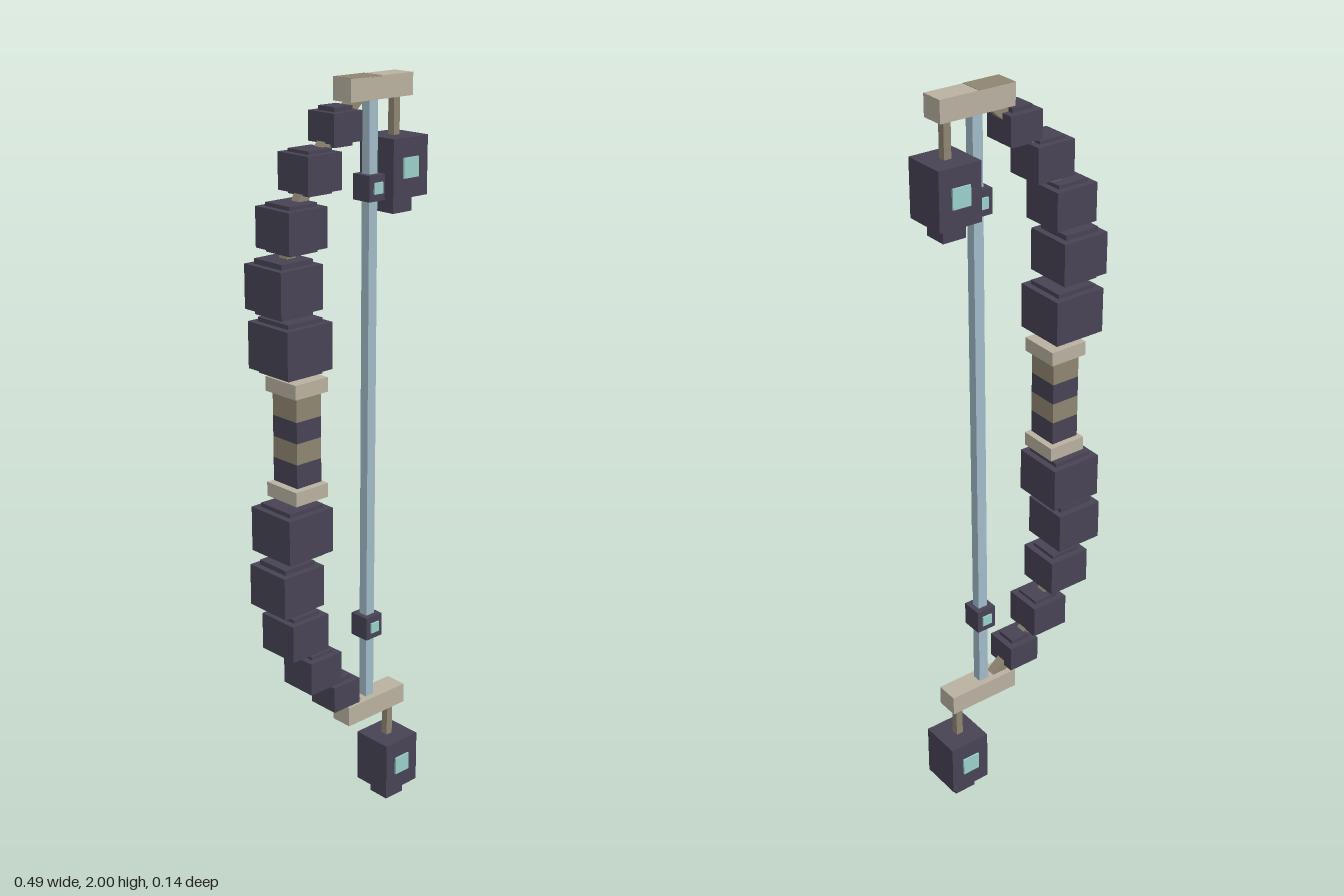
import * as THREE from 'three';

const mat = (name, color) => Object.assign(new THREE.MeshStandardMaterial({ color }), { name });

export function createModel() {
  const dark = mat('dark stone', 0x474354);
  const tan = mat('pale bone', 0xb9b1a0);
  const brown = mat('aged bone', 0x8f8672);
  const cyan = mat('pale crystal', 0x9ad0c8);
  const blue = mat('bowstring blue', 0xa0bac8);

  const model = new THREE.Group();
  model.name = 'bow';
  const MID = 1.143; // height of the mirror plane between the upper and lower limb

  function box(name, material, w, h, d, x, y, z = 0) {
    const mesh = new THREE.Mesh(new THREE.BoxGeometry(w, h, d), material);
    mesh.name = name;
    mesh.position.set(x, y, z);
    model.add(mesh);
    return mesh;
  }

  // Square rod between two points in the xy plane
  function rod(name, a, b, t) {
    const dx = b[0] - a[0], dy = b[1] - a[1];
    const mesh = box(name, brown, t, Math.hypot(dx, dy), t, (a[0] + b[0]) / 2, (a[1] + b[1]) / 2);
    mesh.rotation.z = Math.atan2(-dx, dy);
  }

  // Crystal plates on the front and back of a block
  function crystals(name, size, x, y, face) {
    for (const s of [1, -1]) box(name, cyan, size, size, 0.008, x, y, s * face);
  }

  // Limb blocks: x, height above the middle, width, block height, height with caps
  const beads = [
    [-0.159, 0.240, 0.144, 0.118, 0.140],
    [-0.178, 0.388, 0.132, 0.110, 0.136],
    [-0.152, 0.527, 0.120, 0.099, 0.118],
    [-0.0925, 0.652, 0.107, 0.090, 0.106],
    [-0.011, 0.749, 0.091, 0.072, 0.094],
  ];

  for (const s of [1, -1]) {
    const side = s > 0 ? 'upper' : 'lower';
    const Y = (h) => MID + s * h;

    for (const [x, h, w, bh, ch] of beads) {
      box(side + 'LimbBlock', dark, w, bh, w, x, Y(h));
      box(side + 'LimbBlockCaps', dark, w - 0.034, ch, w - 0.034, x, Y(h));
    }

    // Core rod running through the limb blocks
    const path = [[-0.14, Y(0.13)], ...beads.map((b) => [b[0], Y(b[1])]), [0.065, Y(0.815)]];
    for (let i = 0; i < path.length - 1; i++) rod(side + 'LimbCore', path[i], path[i + 1], 0.028);

    // Grip collar and limb tip bar
    box(side + 'GripCollar', tan, 0.106, 0.037, 0.11, -0.14, Y(0.138));
    box(side + 'TipBar', tan, 0.207, 0.055, 0.062, 0.1135, Y(0.8295));

    // Small block on the string
    box(side + 'StringBlock', dark, 0.056, 0.064, 0.058, 0.103, Y(0.59));
    crystals(side + 'StringCrystal', 0.028, 0.103, Y(0.59), 0.030);
  }

  // Aged inner half on top of the upper tip bar
  box('tipBarTopPatch', brown, 0.1, 0.003, 0.062, 0.061, 1.9995);

  // Grip made of alternating bands
  const bands = [1.028, 1.09, 1.145, 1.2, 1.262];
  for (let i = 0; i < 4; i++) {
    const h = bands[i + 1] - bands[i];
    box('gripBand', i % 2 ? brown : dark, 0.08, h, 0.088, -0.14, bands[i] + h / 2);
  }

  // String
  box('bowString', blue, 0.028, 1.61, 0.026, 0.103, MID);

  // Hanging weights, both below their tip bars
  for (const [barBottom, top] of [[1.945, 1.851], [0.287, 0.188]]) {
    box('weightRod', brown, 0.02, barBottom - top + 0.02, 0.02, 0.184, (barBottom + top) / 2);
    box('weightBlock', dark, 0.117, 0.147, 0.117, 0.185, top - 0.0735);
    box('weightFoot', dark, 0.064, 0.042, 0.064, 0.185, top - 0.167);
    crystals('weightCrystal', 0.05, 0.184, top - 0.073, 0.0595);
  }

  return model;
}
